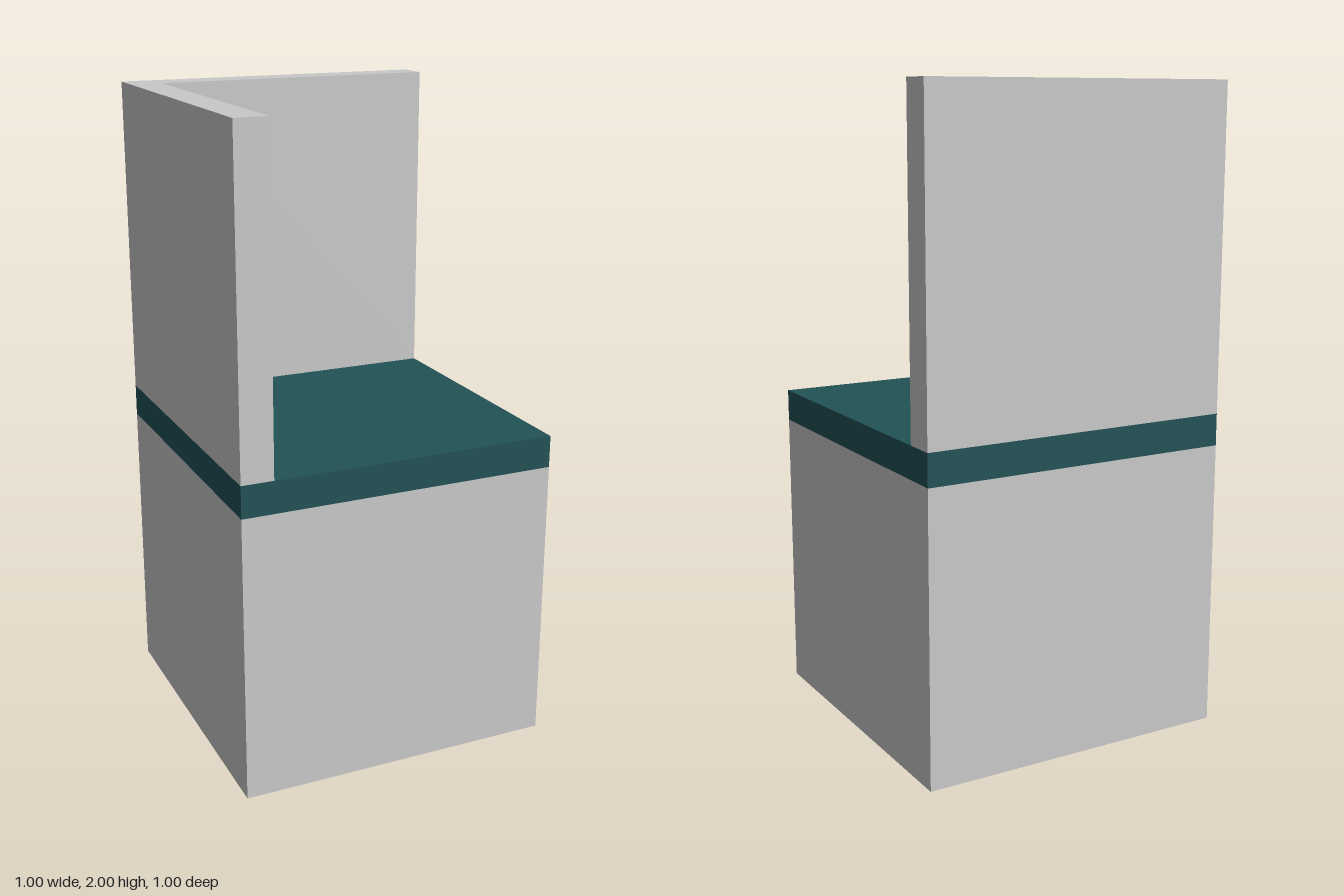
import * as THREE from 'three';

export function createModel() {
  const group = new THREE.Group();
  const grey = new THREE.MeshStandardMaterial({ color: 0xc8c8c8 });
  grey.name = 'light grey';
  const teal = new THREE.MeshStandardMaterial({ color: 0x225256 });
  teal.name = 'dark teal';

  const add = (name, geometry, material, y) => {
    const mesh = new THREE.Mesh(geometry, material);
    mesh.name = name;
    mesh.position.y = y;
    group.add(mesh);
  };

  // Solid lower block and the floor slab on top of it
  add('base', new THREE.BoxGeometry(1, 0.9, 1), grey, 0.45);
  add('floorSlab', new THREE.BoxGeometry(1, 0.1, 1), teal, 0.95);

  // L-shaped corner wall along the back and the right (-x) side, drawn in plan
  const plan = new THREE.Shape(
    [[-0.5, -0.5], [-0.4, -0.5], [-0.4, 0.4], [0.5, 0.4], [0.5, 0.5], [-0.5, 0.5]]
      .map(([x, y]) => new THREE.Vector2(x, y))
  );
  const walls = new THREE.ExtrudeGeometry(plan, { depth: 1, bevelEnabled: false });
  walls.rotateX(-Math.PI / 2);
  add('cornerWalls', walls, grey, 1);

  return group;
}
